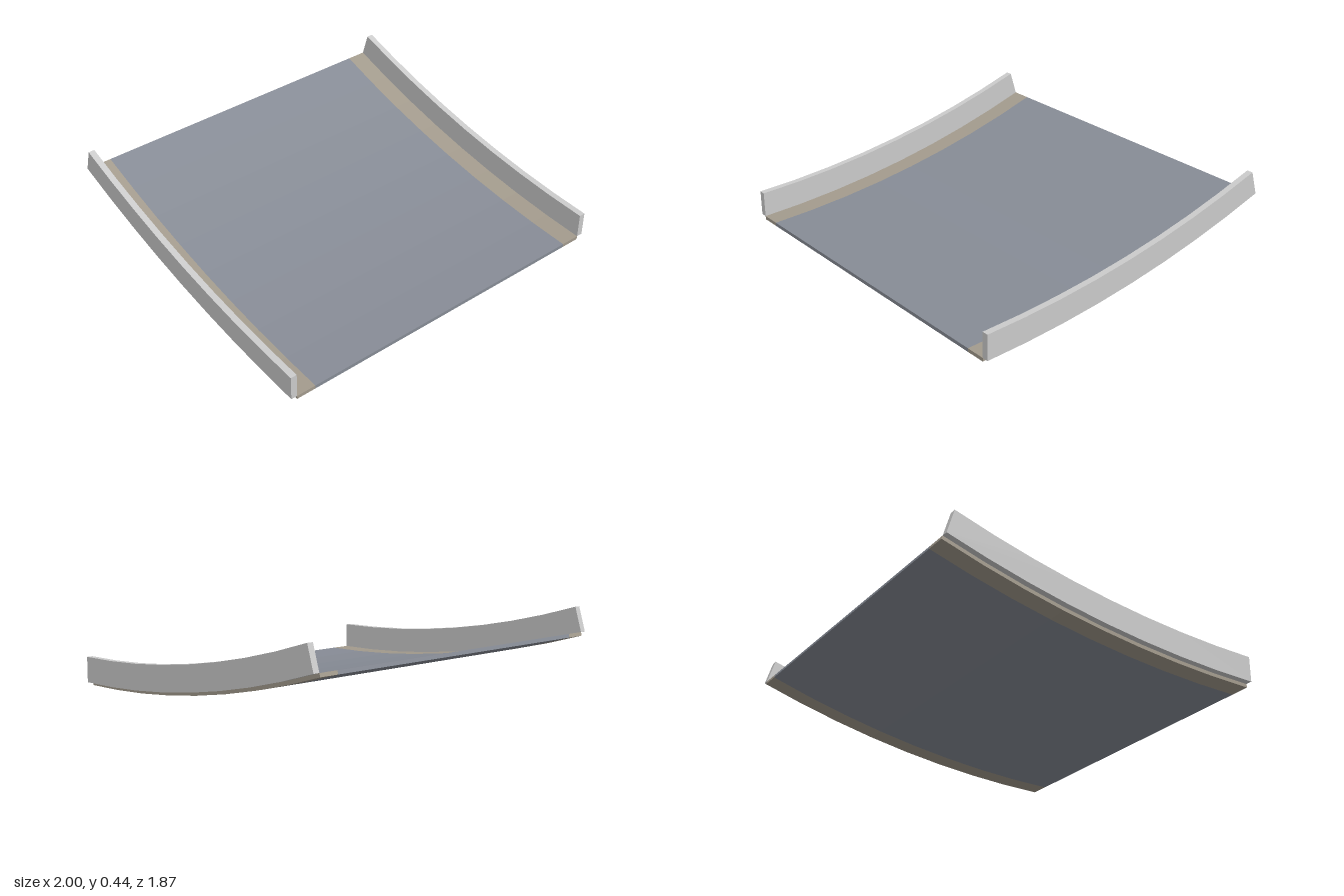
import * as THREE from 'three';

const HALF = 0.935, ANGLE = THREE.MathUtils.degToRad(17.3), SEGMENTS = 8;
const RADIUS = 2 * HALF / Math.sin(ANGLE);

const material = (color) => new THREE.MeshStandardMaterial({ color, flatShading: true });

// Curved bar between two heights above the underside and two x positions
function curvedBar(name, x0, x1, low, high, mat) {
  const points = [];
  const arc = (height, i) => {
    const a = ANGLE * i / SEGMENTS, r = RADIUS - height;
    points.push(new THREE.Vector2(-HALF + r * Math.sin(a), RADIUS - r * Math.cos(a)));
  };
  for (let i = 0; i <= SEGMENTS; i++) arc(low, i);
  for (let i = SEGMENTS; i >= 0; i--) arc(high, i);
  const geometry = new THREE.ExtrudeGeometry(new THREE.Shape(points), {
    depth: x1 - x0, bevelEnabled: false,
  });
  geometry.rotateY(Math.PI / 2).translate(x0, 0, 0);
  const mesh = new THREE.Mesh(geometry, mat);
  mesh.name = name;
  return mesh;
}

export function createModel() {
  const group = new THREE.Group();
  group.name = 'curvedTrackRamp';
  const deckMat = material(0x878c96), stripMat = material(0xa39b8d), railMat = material(0xcccccc);

  // Road surface rising towards the back
  group.add(curvedBar('deck', -0.855, 0.855, 0, 0.02, deckMat));

  // Edge strips and upright side rails
  for (const [side, s] of [['left', 1], ['right', -1]]) {
    const span = (a, b) => (s > 0 ? [a, b] : [-b, -a]);
    group.add(curvedBar(side + 'EdgeStrip', ...span(0.855, 0.965), 0, 0.02, stripMat));
    group.add(curvedBar(side + 'Rail', ...span(0.965, 1), 0.02, 0.162, railMat));
  }
  return group;
}
